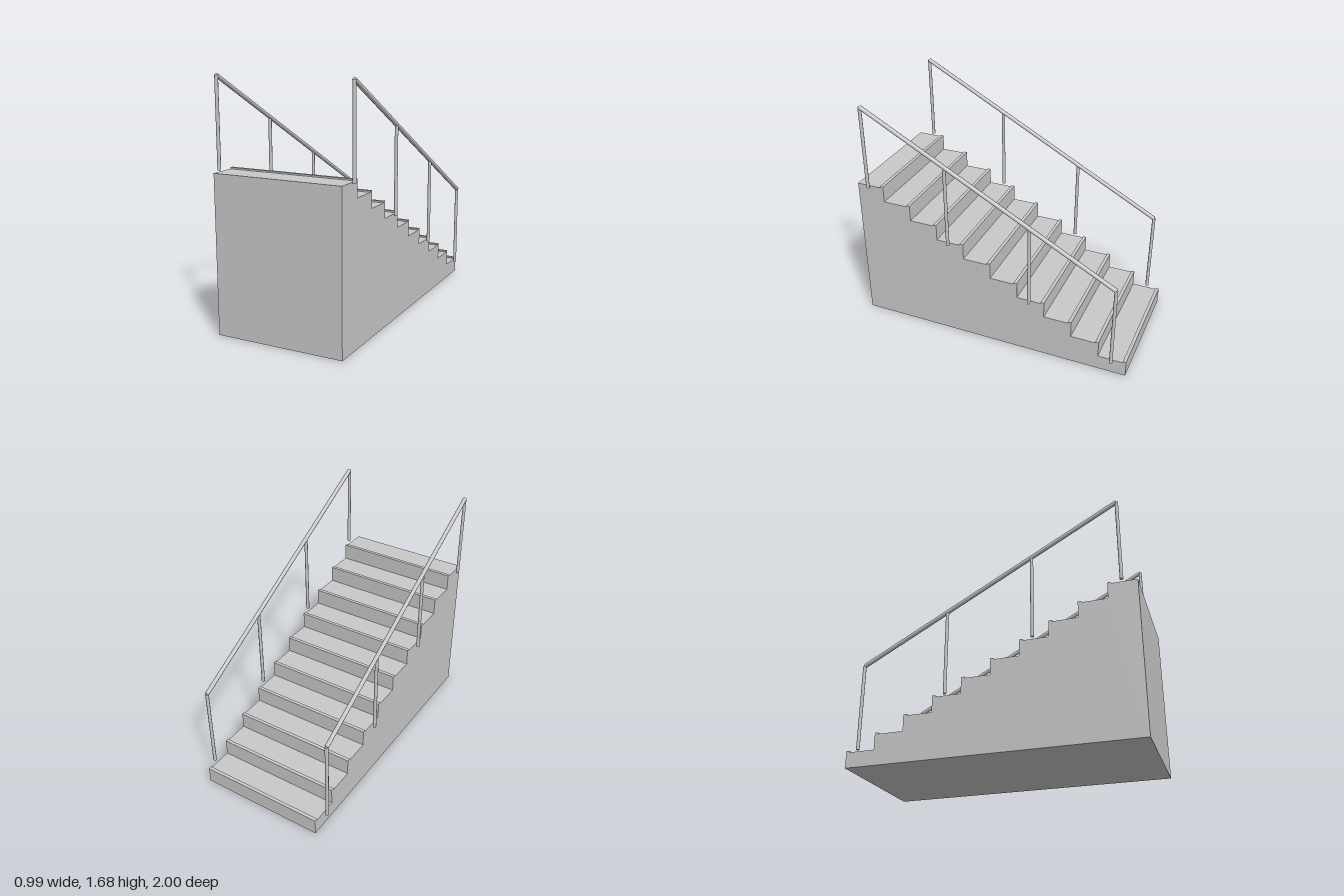
import * as THREE from 'three';

const STEPS = 10, DEPTH = 0.2, RISE = 0.1067, WIDTH = 0.9;

export function createModel() {
  const group = new THREE.Group();
  group.name = 'staircase';
  const grey = new THREE.MeshStandardMaterial({ color: 0xc8c8c8 });
  grey.name = 'light grey';

  const add = (parent, name, geometry, x, y, z) => {
    const mesh = new THREE.Mesh(geometry, grey);
    mesh.name = name;
    mesh.position.set(x, y, z);
    parent.add(mesh);
    return mesh;
  };

  // Solid stepped body: side profile (u = z) extruded across the width
  const profile = new THREE.Shape();
  profile.moveTo(-1, 0);
  for (let i = 0; i < STEPS; i++) {
    profile.lineTo(-1 + i * DEPTH, (i + 1) * RISE);
    profile.lineTo(-1 + (i + 1) * DEPTH, (i + 1) * RISE);
  }
  profile.lineTo(1, 0);
  const body = new THREE.ExtrudeGeometry(profile, { depth: WIDTH, bevelEnabled: false });
  body.rotateY(-Math.PI / 2);
  add(group, 'steps', body, WIDTH / 2, 0, 0);

  // Raised nosing strip along the leading edge of each tread
  const strip = new THREE.BoxGeometry(WIDTH, 0.02, 0.024);
  for (let i = 0; i < STEPS; i++) {
    add(group, 'nosing', strip, 0, (i + 1) * RISE, -0.988 + i * DEPTH);
  }

  // Handrails: four posts standing at tread height, and a sloping rail
  const postHeight = 0.6;
  const post = new THREE.CylinderGeometry(0.012, 0.012, postHeight, 8);
  const treadAt = (z) => (Math.floor((z + 1) / DEPTH) + 1) * RISE;
  for (const side of [-1, 1]) {
    const handrail = new THREE.Group();
    handrail.name = side > 0 ? 'leftHandrail' : 'rightHandrail';
    group.add(handrail);
    for (const z of [-0.9, -0.3, 0.3, 0.9]) {
      add(handrail, 'post', post, side * 0.48, treadAt(z) + postHeight / 2, z);
    }
    const low = new THREE.Vector3(0, treadAt(-0.9) + postHeight, -0.9);
    const high = new THREE.Vector3(0, treadAt(0.9) + postHeight, 0.9);
    const length = low.distanceTo(high);
    const rail = add(handrail, 'rail', new THREE.CylinderGeometry(0.015, 0.015, length, 8),
      side * 0.48, (low.y + high.y) / 2, 0);
    rail.rotation.x = Math.atan2(high.z - low.z, high.y - low.y);
  }
  return group;
}
